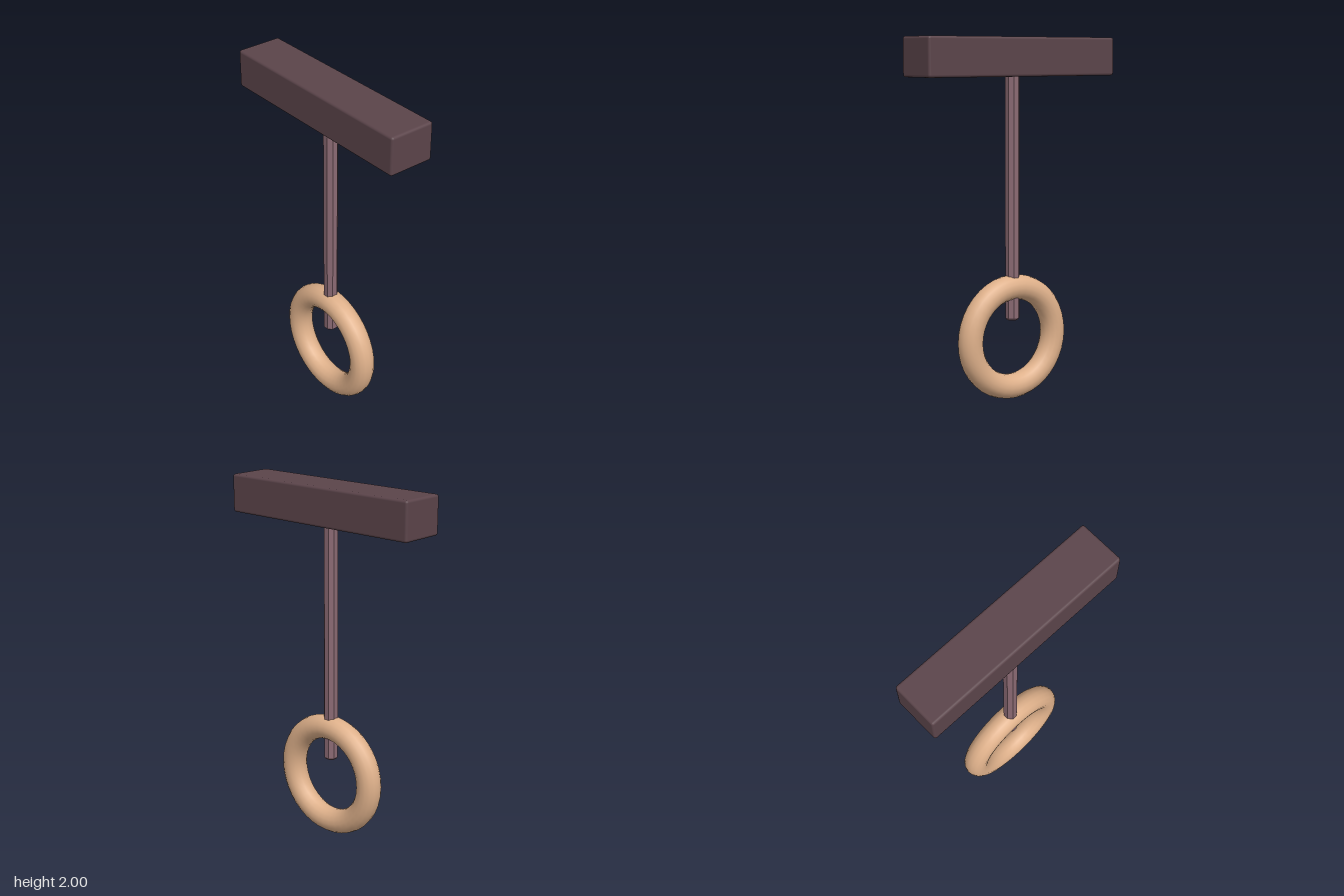
import * as THREE from 'three';
import { RoundedBoxGeometry } from 'three/addons/geometries/RoundedBoxGeometry.js';

function material(name, color) {
  const m = new THREE.MeshStandardMaterial({ color });
  m.name = name;
  return m;
}

function part(group, name, geometry, mat, y) {
  const mesh = new THREE.Mesh(geometry, mat);
  mesh.name = name;
  mesh.position.y = y;
  group.add(mesh);
  return mesh;
}

export function createModel() {
  const group = new THREE.Group();
  group.name = 'hangingRing';

  const darkWood = material('dark wood', 0x5b444a);
  const strapMauve = material('mauve strap', 0x8b6a73);
  strapMauve.flatShading = true;
  const paleWood = material('pale wood', 0xdeb08a);

  // Overhead beam with slightly softened edges
  part(group, 'beam', new RoundedBoxGeometry(1.22, 0.21, 0.26, 2, 0.014), darkWood, 1.895);

  // Eight-sided strap with bevelled ends, a flat side to the front
  const r = 0.04, bevel = 0.01, bottom = 0.45, top = 1.82;
  const profile = [
    [0, bottom], [r - bevel, bottom], [r, bottom + bevel],
    [r, top - bevel], [r - bevel, top], [0, top],
  ].map(([x, y]) => new THREE.Vector2(x, y));
  part(group, 'strap', new THREE.LatheGeometry(profile, 8, Math.PI / 8), strapMauve, 0);

  // Grip ring
  part(group, 'ring', new THREE.TorusGeometry(0.281, 0.069, 16, 40), paleWood, 0.353);

  return group;
}
